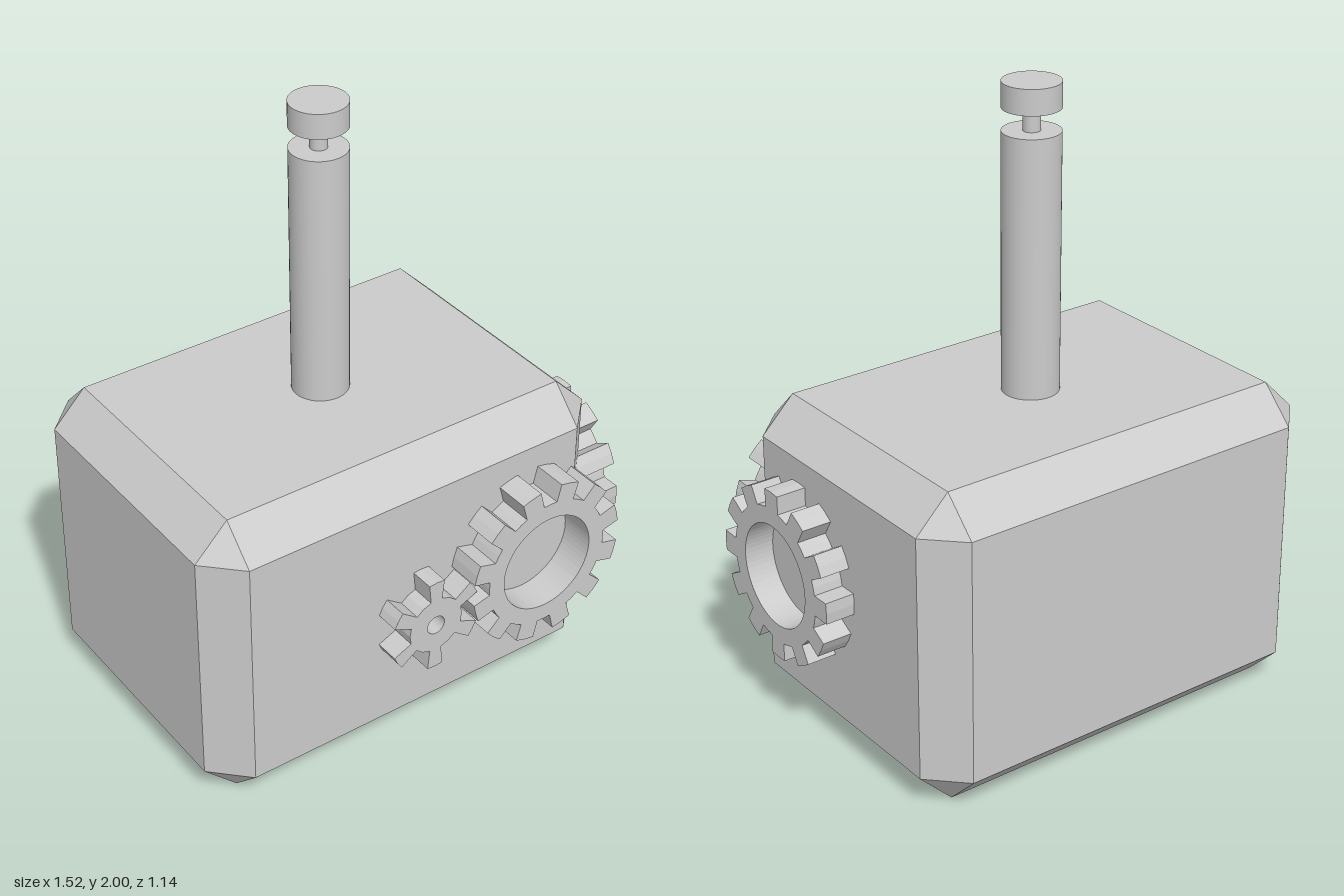
import * as THREE from 'three';
import { ConvexGeometry } from 'three/addons/geometries/ConvexGeometry.js';

const flat = new THREE.MeshStandardMaterial({ color: 0xcccccc, flatShading: true });
const smooth = new THREE.MeshStandardMaterial({ color: 0xcccccc });

function add(parent, name, geometry, material, x, y, z) {
  const mesh = new THREE.Mesh(geometry, material);
  mesh.name = name;
  mesh.position.set(x, y, z);
  parent.add(mesh);
  return mesh;
}

// Box with every edge cut at 45 degrees and triangular corners
function chamferedBox(w, h, d, c) {
  const points = [];
  for (const sx of [-1, 1]) for (const sy of [-1, 1]) for (const sz of [-1, 1]) {
    for (const [cx, cy, cz] of [[0, c, c], [c, 0, c], [c, c, 0]]) {
      points.push(new THREE.Vector3(sx * (w / 2 - cx), sy * (h / 2 - cy), sz * (d / 2 - cz)));
    }
  }
  return new ConvexGeometry(points);
}

// Toothed wheel with a round bore, extruded along +z from z = 0
function gear({ teeth, root, outer, bore, baseWidth, tipWidth, phase, depth }) {
  const shape = new THREE.Shape();
  const halfBase = Math.asin(baseWidth / 2 / root);
  const halfTip = Math.asin(tipWidth / 2 / outer);
  const pitch = Math.PI * 2 / teeth;
  const points = [];
  const put = (r, a) => points.push(new THREE.Vector2(r * Math.cos(a), r * Math.sin(a)));
  for (let i = 0; i < teeth; i++) {
    const a = phase + i * pitch;
    put(root, a - halfBase);
    put(outer, a - halfTip);
    put(outer, a);
    put(outer, a + halfTip);
    put(root, a + halfBase);
    put(root, a + pitch / 2);
  }
  shape.setFromPoints(points);
  const hole = new THREE.Path();
  hole.absarc(0, 0, bore, 0, Math.PI * 2, true);
  shape.holes.push(hole);
  return new THREE.ExtrudeGeometry(shape, { depth, bevelEnabled: false, curveSegments: 32 });
}

export function createModel() {
  const model = new THREE.Group();
  model.name = 'gearedHammer';

  // Hammer head
  add(model, 'head', chamferedBox(1.425, 1.025, 1.03, 0.112), flat, -0.05, 0.5125, -0.06);

  // Handle, neck and end cap
  const rod = (name, r, y0, y1) =>
    add(model, name, new THREE.CylinderGeometry(r, r, y1 - y0, 48), smooth, -0.05, (y0 + y1) / 2, -0.06);
  rod('handle', 0.09, 1.0, 1.85);
  rod('neck', 0.027, 1.84, 1.93);
  rod('endCap', 0.09, 1.92, 2.0);

  // Two meshing large gears, sunk into the front and the left side
  const large = { teeth: 12, root: 0.225, outer: 0.285, bore: 0.168, baseWidth: 0.068, tipWidth: 0.07, depth: 0.21 };
  add(model, 'frontGear', gear({ ...large, phase: Math.PI / 12 }), flat, 0.36, 0.55, 0.36);
  add(model, 'sideGear', gear({ ...large, phase: 0 }), flat, 0.55, 0.55, 0.147).rotation.y = Math.PI / 2;

  // Small pinion beside the front gear
  const pinion = { teeth: 6, root: 0.098, outer: 0.165, bore: 0.032, baseWidth: 0.042, tipWidth: 0.056, phase: Math.PI / 6, depth: 0.135 };
  add(model, 'pinion', gear(pinion), flat, -0.04, 0.47, 0.4);

  return model;
}
